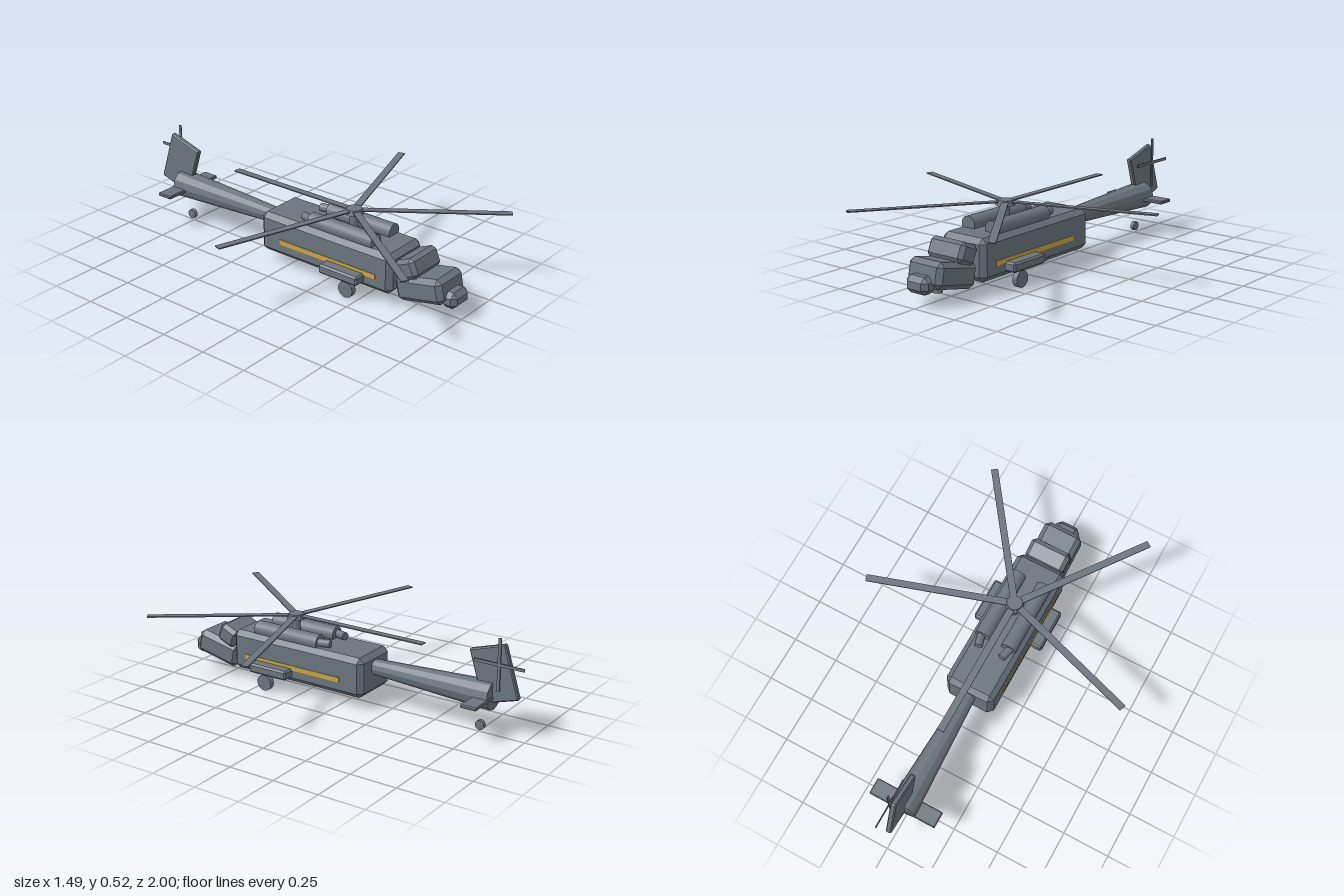
import * as THREE from 'three';
import { ConvexGeometry } from 'three/addons/geometries/ConvexGeometry.js';

const grey = new THREE.MeshStandardMaterial({ color: 0x6b757e });
grey.name = 'slate grey';
const greyFlat = grey.clone();
greyFlat.flatShading = true;
greyFlat.name = 'slate grey faceted';
const gold = new THREE.MeshStandardMaterial({ color: 0xc9a545 });
gold.name = 'gold';

// Box with chamfered edges and corners
function chamferBox(w, h, d, c) {
  const pts = [];
  const [x, y, z] = [w / 2, h / 2, d / 2];
  for (const sx of [-1, 1]) for (const sy of [-1, 1]) for (const sz of [-1, 1]) {
    pts.push(
      new THREE.Vector3(sx * x, sy * (y - c), sz * (z - c)),
      new THREE.Vector3(sx * (x - c), sy * y, sz * (z - c)),
      new THREE.Vector3(sx * (x - c), sy * (y - c), sz * z));
  }
  return new ConvexGeometry(pts);
}

export function createModel() {
  const model = new THREE.Group();
  model.name = 'helicopter';

  function add(name, geometry, x, y, z, material = grey, parent = model) {
    const mesh = new THREE.Mesh(geometry, material);
    mesh.name = name;
    mesh.position.set(x, y, z);
    parent.add(mesh);
    return mesh;
  }

  // Fuselage, cockpit and nose
  add('fuselage', chamferBox(0.274, 0.215, 0.82, 0.027), 0, 0.172, 0.263);
  add('cockpit', chamferBox(0.216, 0.13, 0.27, 0.025), 0, 0.131, 0.81).rotation.x = -0.21;
  add('windscreen', chamferBox(0.224, 0.105, 0.118, 0.02), 0, 0.22, 0.738).rotation.x = -0.42;
  add('nose', chamferBox(0.136, 0.086, 0.09, 0.025), 0, 0.11, 0.955);
  add('sensorTurret', new THREE.CylinderGeometry(0.027, 0.027, 0.06, 16), 0, 0.075, 0.845);

  // Tail boom, widening to the rear
  const boom = new THREE.CylinderGeometry(0.04, 0.075, 0.725, 12).rotateX(Math.PI / 2);
  add('tailBoom', boom, 0, 0.205, -0.4625, greyFlat);

  // Tail surfaces
  add('tailFin', chamferBox(0.03, 0.28, 0.203, 0.006), 0, 0.318, -0.827).rotation.x = 0.3;
  add('stabilizer', chamferBox(0.372, 0.018, 0.088, 0.004), 0, 0.196, -0.787);

  // Tail rotor: two crossed blades
  const tailRotor = new THREE.Group();
  tailRotor.name = 'tailRotor';
  tailRotor.position.set(0.036, 0.383, -0.865);
  model.add(tailRotor);
  add('tailBladeUpright', new THREE.BoxGeometry(0.005, 0.27, 0.016), 0, 0, 0, grey, tailRotor);
  add('tailBladeLevel', new THREE.BoxGeometry(0.005, 0.016, 0.27), 0, 0, 0, grey, tailRotor);

  // Paired parts
  for (const s of [1, -1]) {
    const side = s > 0 ? 'left' : 'right';
    add(side + 'Sponson', chamferBox(0.08, 0.05, 0.236, 0.009), s * 0.16, 0.118, 0.4);
    const wheel = new THREE.CylinderGeometry(0.043, 0.043, 0.028, 24).rotateZ(Math.PI / 2);
    add(side + 'Wheel', wheel, s * 0.164, 0.043, 0.436);
    add(side + 'Stripe', new THREE.BoxGeometry(0.006, 0.026, 0.6), s * 0.138, 0.147, 0.285, gold);
    const engine = new THREE.CylinderGeometry(0.042, 0.042, 0.395, 20).rotateX(Math.PI / 2);
    add(side + 'Engine', engine, s * 0.075, 0.297, 0.343);
    // Exhausts turn slightly inward toward the rear
    const exhaust = new THREE.CylinderGeometry(0.021, 0.021, 0.11, 16).rotateX(Math.PI / 2);
    add(side + 'Exhaust', exhaust, s * 0.081, 0.3, 0.14).rotation.y = s * 0.26;
  }

  // Tail wheel
  add('tailWheel', new THREE.CylinderGeometry(0.025, 0.025, 0.02, 20).rotateZ(Math.PI / 2), 0, 0.036, -0.757);

  // Main rotor: mast, tapered hub, five blades with one pointing aft
  const rotor = new THREE.Group();
  rotor.name = 'mainRotor';
  rotor.position.set(0, 0.387, 0.35);
  model.add(rotor);
  add('mast', new THREE.CylinderGeometry(0.022, 0.022, 0.12, 16), 0, -0.07, 0, grey, rotor);
  add('hub', new THREE.CylinderGeometry(0.04, 0.049, 0.026, 24), 0, -0.004, 0, grey, rotor);
  const blade = new THREE.BoxGeometry(0.037, 0.006, 0.755).translate(0, 0, -0.3975);
  for (let i = 0; i < 5; i++) {
    add('rotorBlade' + (i + 1), blade, 0, 0, 0, grey, rotor).rotation.y = i * Math.PI * 2 / 5;
  }

  return model;
}
